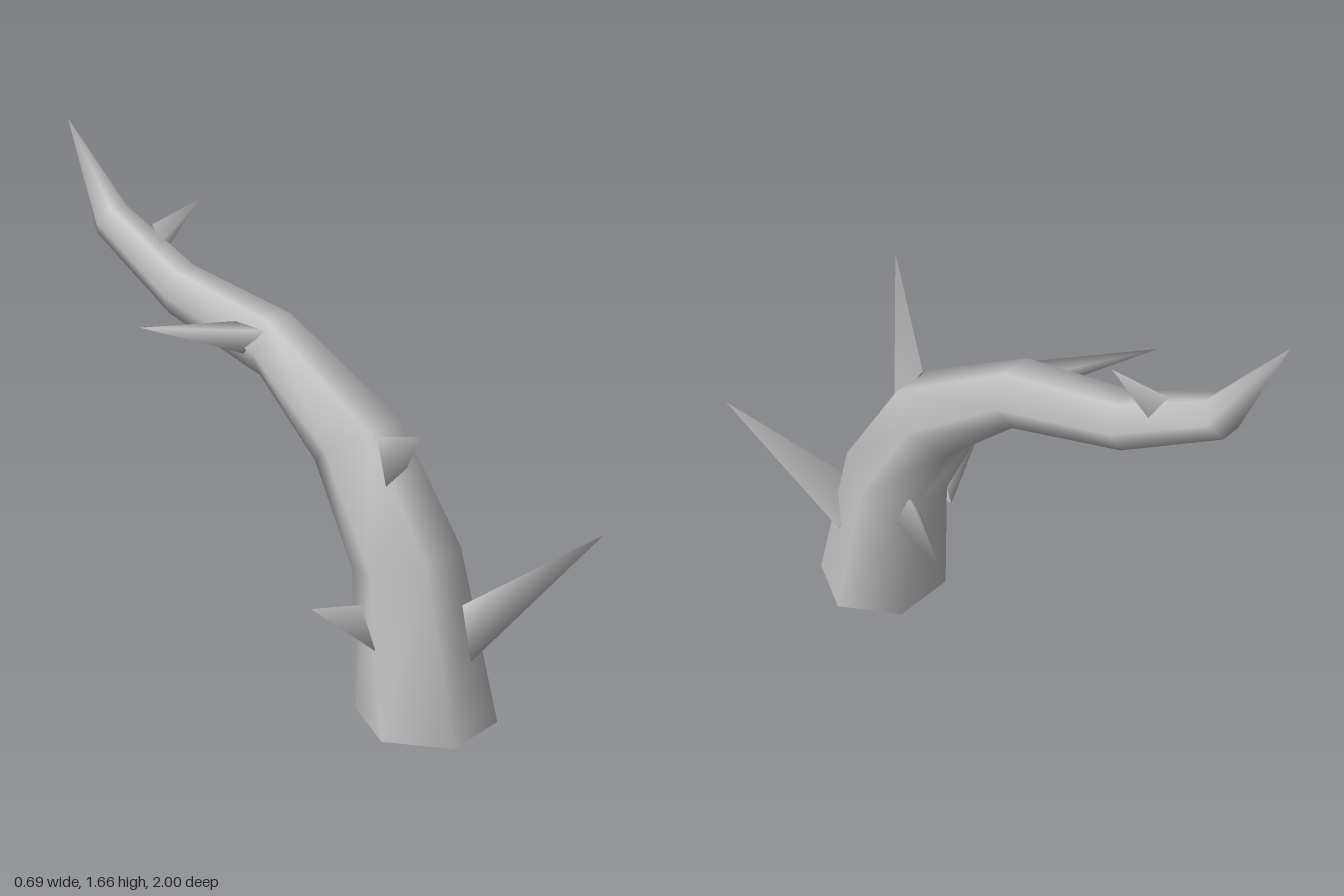
import * as THREE from 'three';

const SIDES = 6;
const CENTRE_X = 0.095;

// Each ring: front/top edge [z, y], back/under edge [z, y]
const RINGS = [
  [0.745, 0, 0.358, 0],
  [0.6, 0.56, 0.315, 0.46],
  [0.365, 0.92, 0.15, 0.775],
  [-0.065, 1.175, -0.095, 0.99],
  [-0.475, 1.255, -0.5, 1.105],
  [-0.77, 1.405, -0.84, 1.31],
];
const TIP = [CENTRE_X, 1.665, -1];

// Each thorn: tip, then the three corners of its base
const THORNS = [
  { name: 'lowerFrontThorn', tip: [0.343, 0.667, 1], base: [[0.13, 0.22, 0.69], [0.13, 0.4, 0.65], [0.25, 0.28, 0.59]] },
  { name: 'middleFrontThorn', tip: [-0.23, 1.08, 0.745], base: [[0.11, 0.8, 0.44], [-0.01, 0.78, 0.455], [0.03, 0.91, 0.385]] },
  { name: 'lowerRightThorn', tip: [-0.345, 0.497, 0.45], base: [[-0.09, 0.41, 0.43], [-0.08, 0.3, 0.38], [-0.1, 0.28, 0.5]] },
  { name: 'upperRightThorn', tip: [-0.257, 1.17, -0.325], base: [[0.02, 1.15, -0.06], [0.01, 1.16, -0.17], [-0.01, 1.07, -0.12]] },
  { name: 'upperLeftThorn', tip: [0.227, 1.45, -0.525], base: [[0.1, 1.31, -0.59], [0.165, 1.29, -0.61], [0.13, 1.36, -0.65]] },
  { name: 'lowerBackThorn', tip: [0.24, 0.365, 0.137], base: [[0.235, 0.435, 0.335], [0.19, 0.53, 0.31], [0.14, 0.43, 0.31]] },
];

function makeGeometry(points, index) {
  const geometry = new THREE.BufferGeometry();
  geometry.setAttribute('position', new THREE.Float32BufferAttribute(points.flat(), 3));
  geometry.setIndex(index);
  geometry.computeVertexNormals();
  return geometry;
}

// Hexagonal ring with flat faces toward the front and back
function ringPoints([frontZ, frontY, backZ, backY]) {
  const half = Math.hypot(frontZ - backZ, frontY - backY) / 2;
  const radius = half / Math.sin(Math.PI / 3);
  return Array.from({ length: SIDES }, (_, i) => {
    const a = (i / SIDES) * Math.PI * 2;
    const s = Math.sin(a) / Math.sin(Math.PI / 3) / 2;
    return [
      CENTRE_X + radius * Math.cos(a),
      (frontY + backY) / 2 + (frontY - backY) * s,
      (frontZ + backZ) / 2 + (frontZ - backZ) * s,
    ];
  });
}

function stemGeometry() {
  const points = RINGS.flatMap(ringPoints);
  const index = [];
  const tip = points.push(TIP) - 1;
  for (let r = 0; r < RINGS.length; r++) {
    for (let i = 0; i < SIDES; i++) {
      const a = r * SIDES + i;
      const b = r * SIDES + ((i + 1) % SIDES);
      if (r === RINGS.length - 1) index.push(a, tip, b);
      else index.push(a, a + SIDES, b, b, a + SIDES, b + SIDES);
    }
  }
  return makeGeometry(points, index);
}

function stemBaseGeometry() {
  const index = [];
  for (let i = 1; i < SIDES - 1; i++) index.push(0, i, i + 1);
  return makeGeometry(ringPoints(RINGS[0]), index);
}

// Three-sided spike, smooth around its sides, with a separate flat base
function thornGeometry(tip, base) {
  const [a, b, c] = base.map((p) => new THREE.Vector3(...p));
  const normal = b.clone().sub(a).cross(c.clone().sub(a));
  const towardTip = new THREE.Vector3(...tip).sub(a);
  const corners = normal.dot(towardTip) > 0 ? base : [base[0], base[2], base[1]];
  return makeGeometry(
    [...corners, tip, ...corners],
    [0, 1, 3, 1, 2, 3, 2, 0, 3, 4, 6, 5],
  );
}

export function createModel() {
  const model = new THREE.Group();
  model.name = 'thornyVine';
  const grey = new THREE.MeshStandardMaterial({ color: 0xc0c0c0 });
  grey.name = 'light grey';

  const add = (name, geometry) => {
    const mesh = new THREE.Mesh(geometry, grey);
    mesh.name = name;
    model.add(mesh);
  };

  add('stem', stemGeometry());
  add('stemBase', stemBaseGeometry());
  for (const { name, tip, base } of THORNS) add(name, thornGeometry(tip, base));
  return model;
}
